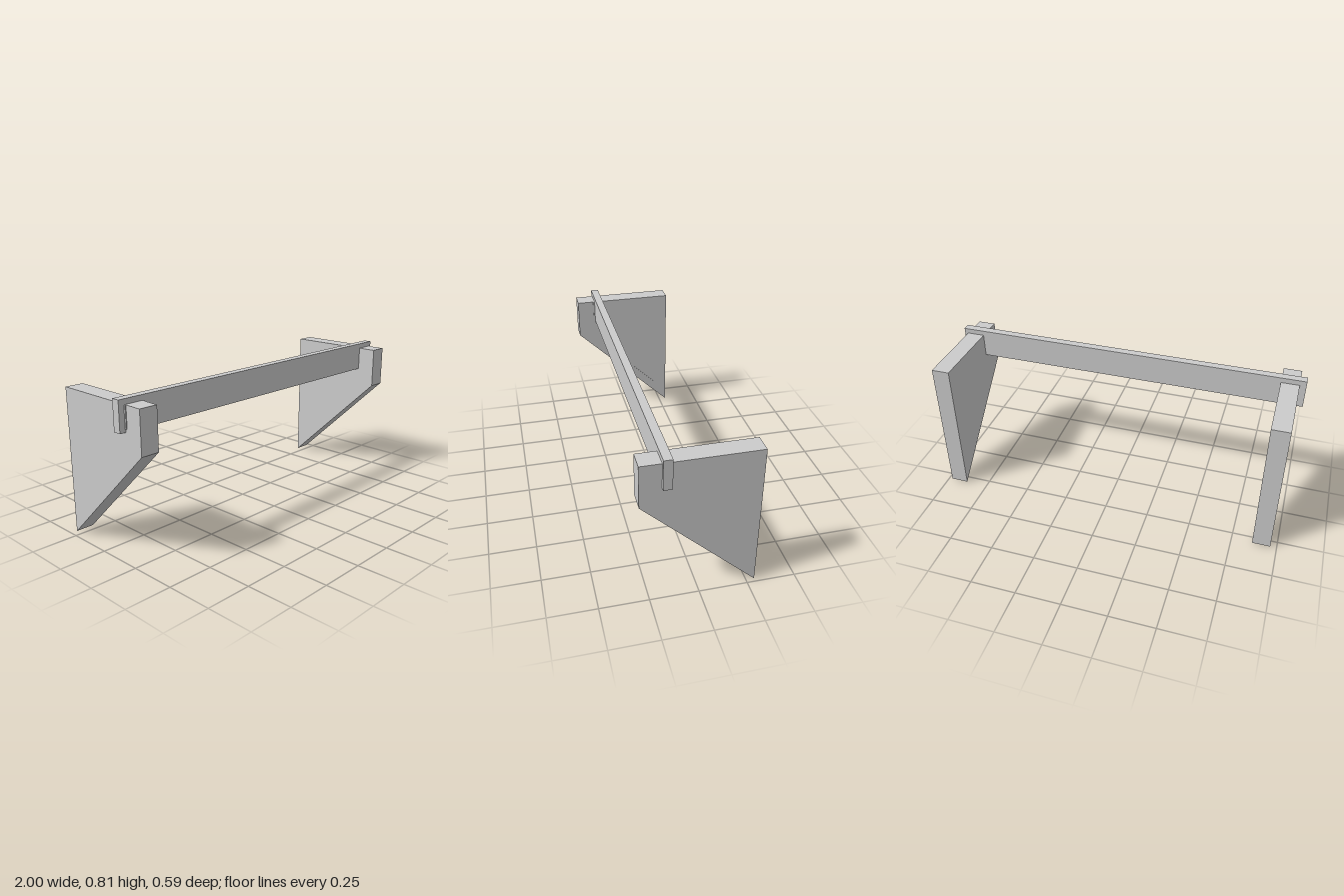
import * as THREE from 'three';

export function createModel() {
  const group = new THREE.Group();
  const material = new THREE.MeshStandardMaterial({ color: 0xcccccc, flatShading: true });

  function add(name, geometry, x = 0, y = 0, z = 0) {
    const mesh = new THREE.Mesh(geometry, material);
    mesh.name = name;
    mesh.position.set(x, y, z);
    group.add(mesh);
    return mesh;
  }

  // Bracket side profile: shape x is -z, so the extrusion turns to run along +x
  const top = 0.787, half = 0.293, thickness = 0.1;
  const profile = new THREE.Shape([
    new THREE.Vector2(half, 0),
    new THREE.Vector2(half, top),
    new THREE.Vector2(-half, top),
    new THREE.Vector2(-half, 0.56),
  ]);
  const bracket = new THREE.ExtrudeGeometry(profile, { depth: thickness, bevelEnabled: false });
  bracket.rotateY(Math.PI / 2);
  add('rightBracket', bracket, -0.965);
  add('leftBracket', bracket, 0.88);

  // Rail let into the top of both brackets
  add('rail', new THREE.BoxGeometry(2, 0.16, 0.044), 0, 0.735, 0.165);

  // Thin packing piece in front of the rail, just proud of the right bracket
  add('railSpacer', new THREE.BoxGeometry(0.11, 0.115, 0.012), -0.915, 0.7285, 0.19);

  // Fine strip on the inner face of the right bracket, parallel to its sloping edge
  const strip = add('bracketStrip', new THREE.BoxGeometry(0.004, 0.01, 0.2), -0.865, 0.215, -0.135);
  strip.rotation.x = -Math.atan2(0.56, 2 * half);

  return group;
}
